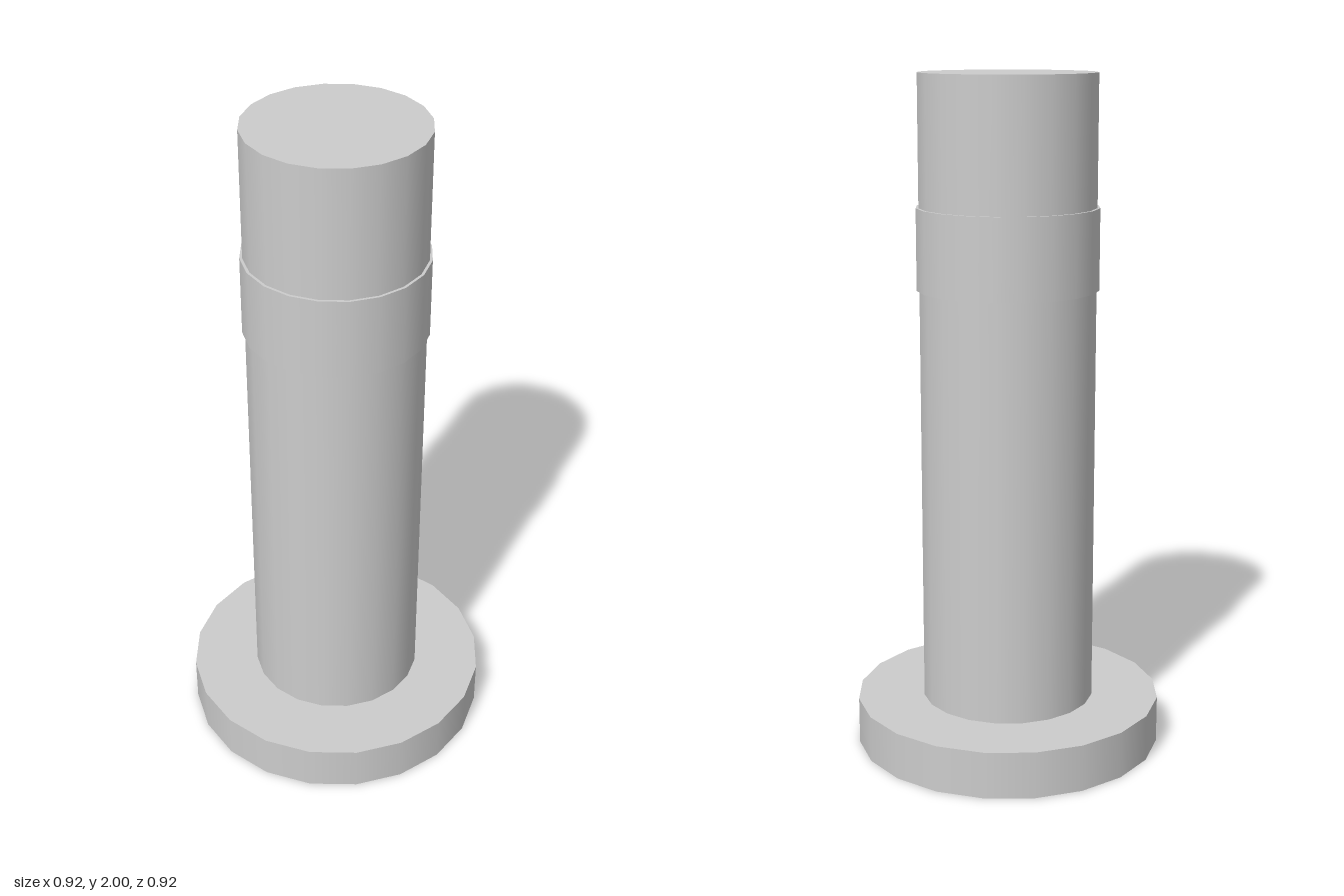
import * as THREE from 'three';

const SIDES = 20;

export function createModel() {
  const model = new THREE.Group();
  model.name = 'flangedPost';
  const grey = new THREE.MeshStandardMaterial({ color: 0xcccccc });
  grey.name = 'light grey';

  // Upright smooth cylinder between two heights
  const addCylinder = (name, radius, bottom, top) => {
    const geometry = new THREE.CylinderGeometry(radius, radius, top - bottom, SIDES);
    const mesh = new THREE.Mesh(geometry, grey);
    mesh.name = name;
    mesh.position.y = (bottom + top) / 2;
    model.add(mesh);
  };

  addCylinder('baseFlange', 0.458, 0, 0.14);
  addCylinder('shaft', 0.258, 0.14, 2);
  addCylinder('collar', 0.266, 1.385, 1.622);

  return model;
}
